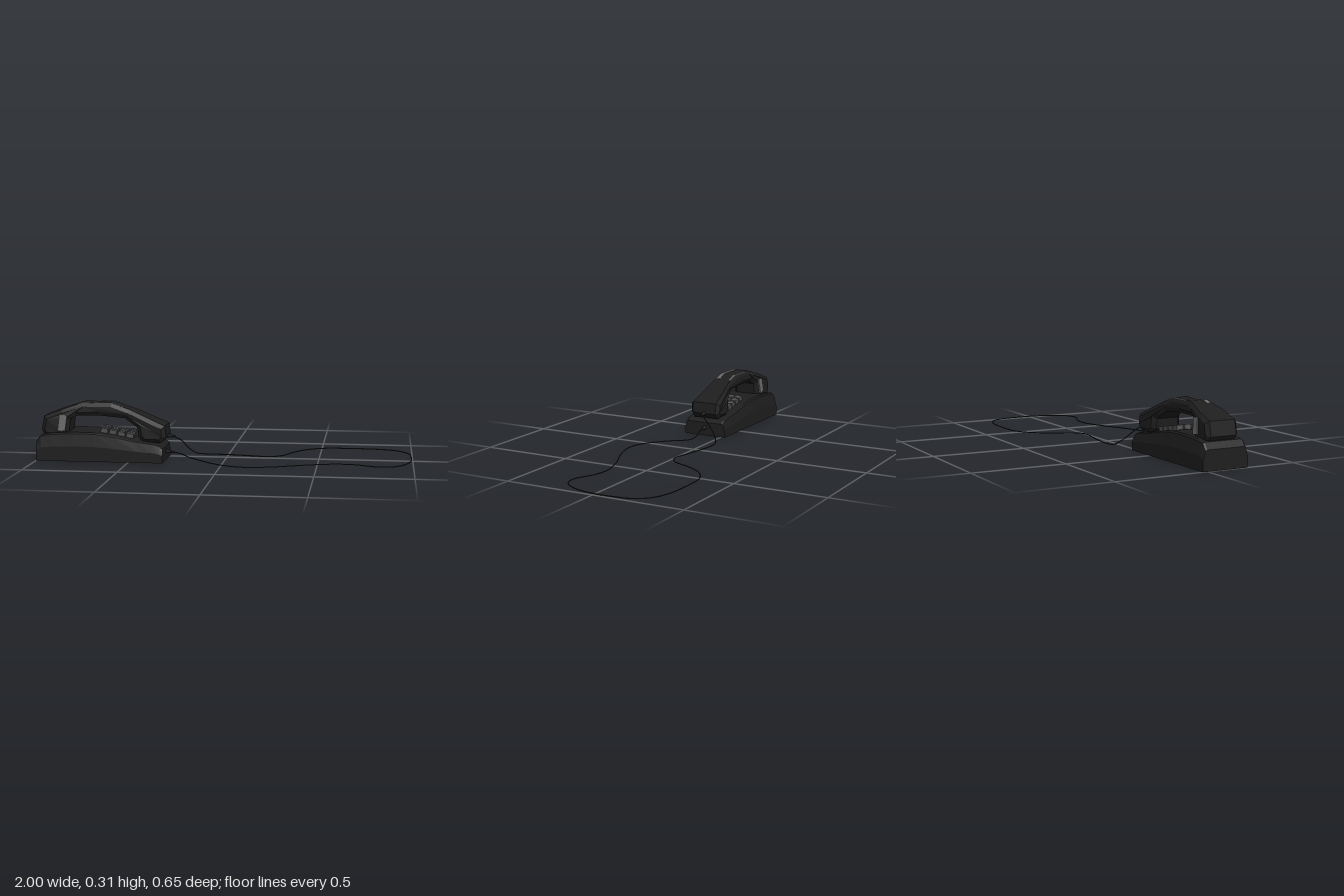
import * as THREE from 'three';

const CZ = 0.1025; // middle of the telephone in z
const V = (x, y, z) => new THREE.Vector3(x, y, z);

const black = new THREE.MeshStandardMaterial({ color: 0x1e1e1e });
black.name = 'blackPlastic';
const keyGrey = new THREE.MeshStandardMaterial({ color: 0x505050 });
keyGrey.name = 'keyGrey';
const shineGrey = new THREE.MeshStandardMaterial({ color: 0x686868 });
shineGrey.name = 'shineGrey';

function add(parent, name, geometry, material) {
  const mesh = new THREE.Mesh(geometry, material);
  mesh.name = name;
  parent.add(mesh);
  return mesh;
}

// Joins equal loops of points, ordered along +x, into a closed faceted solid.
function loft(loops) {
  const pos = [];
  const tri = (a, b, c) => [a, b, c].forEach((p) => pos.push(p.x, p.y, p.z));
  const n = loops[0].length;
  for (let i = 0; i < loops.length - 1; i++) {
    const a = loops[i], b = loops[i + 1];
    for (let j = 0; j < n; j++) {
      const k = (j + 1) % n;
      tri(a[j], a[k], b[k]);
      tri(a[j], b[k], b[j]);
    }
  }
  const first = loops[0], last = loops[loops.length - 1];
  for (let j = 1; j < n - 1; j++) {
    tri(first[0], first[j + 1], first[j]);
    tri(last[0], last[j], last[j + 1]);
  }
  const g = new THREE.BufferGeometry();
  g.setAttribute('position', new THREE.Float32BufferAttribute(pos, 3));
  g.computeVertexNormals();
  return g;
}

// Height of the base top along x
const baseTop = [[-1, 0.105], [-0.975, 0.138], [-0.92, 0.148], [-0.8, 0.155], [-0.68, 0.153],
  [-0.58, 0.138], [-0.45, 0.112], [-0.37, 0.102], [-0.335, 0.092], [-0.315, 0.075]];

function baseLoop([x, h]) {
  const half = [[0.1275, 0], [0.1275, 0.52 * h], [0.115, 0.95 * h], [0.105, h]];
  const right = half.map(([z, y]) => V(x, y, CZ - z));
  const left = half.map(([z, y]) => V(x, y, CZ + z)).reverse();
  return [...right, ...left];
}

// Handset: side outline with widening ends
const handsetOutline = [[-0.955, 0.125], [-0.98, 0.16], [-0.965, 0.235], [-0.87, 0.27], [-0.76, 0.306],
  [-0.6, 0.306], [-0.5, 0.272], [-0.31, 0.19], [-0.303, 0.13], [-0.33, 0.1], [-0.42, 0.1],
  [-0.453, 0.125], [-0.46, 0.18], [-0.53, 0.226], [-0.66, 0.238], [-0.79, 0.235],
  [-0.826, 0.215], [-0.832, 0.15], [-0.86, 0.13]];

function handsetGeometry() {
  const shape = new THREE.Shape(handsetOutline.map(([x, y]) => new THREE.Vector2(x, y)));
  const g = new THREE.ExtrudeGeometry(shape, {
    depth: 1.6, bevelThickness: 0.2, bevelSize: 0.02, bevelOffset: -0.02, bevelSegments: 1,
  });
  g.translate(0, 0, -0.8);
  const p = g.attributes.position;
  for (let i = 0; i < p.count; i++) {
    const w = 0.06 + 0.03 * THREE.MathUtils.smoothstep(Math.abs(p.getX(i) + 0.65), 0.12, 0.25);
    p.setZ(i, CZ + p.getZ(i) * w);
  }
  g.computeVertexNormals();
  return g;
}

// Thin pale strip that follows the top of the handset
function strip(points, z0, z1) {
  const outline = [...points.map(([x, y]) => [x, y + 0.002]),
    ...points.map(([x, y]) => [x, y - 0.004]).reverse()];
  const shape = new THREE.Shape(outline.map(([x, y]) => new THREE.Vector2(x, y)));
  const g = new THREE.ExtrudeGeometry(shape, { depth: z1 - z0, bevelEnabled: false });
  g.translate(0, 0, CZ + z0);
  return g;
}

export function createModel() {
  const model = new THREE.Group();
  model.name = 'telephone';

  add(model, 'base', loft(baseTop.map(baseLoop)), black);

  const handset = new THREE.Group();
  handset.name = 'handset';
  model.add(handset);
  add(handset, 'handle', handsetGeometry(), black);
  add(handset, 'frontTopShine', strip([[-0.8, 0.293], [-0.76, 0.306], [-0.6, 0.306], [-0.54, 0.286]], 0.022, 0.044), shineGrey);
  add(handset, 'backTopShine', strip([[-0.72, 0.306], [-0.6, 0.306], [-0.53, 0.283]], -0.05, -0.038), shineGrey);
  for (const s of [1, -1]) {
    const shine = add(handset, 'sideShine', new THREE.BoxGeometry(0.038, 0.085, 0.008), shineGrey);
    shine.position.set(-0.862, 0.2, CZ + s * 0.084);
    shine.rotation.set(-s * 0.1, 0, -0.12);
  }

  // Keypad: four rows of three on the sloping top
  const keypad = new THREE.Group();
  keypad.name = 'keypad';
  keypad.position.set(-0.57, 0.146, CZ);
  keypad.rotation.z = -0.18;
  model.add(keypad);
  for (let i = 0; i < 4; i++) {
    for (let j = -1; j <= 1; j++) {
      const key = add(keypad, 'key', new THREE.BoxGeometry(0.038, 0.024, 0.036), keyGrey);
      key.position.set((i - 1.5) * 0.047, 0, j * 0.046);
    }
  }

  // Tapered cord sleeves on the base and handset
  for (const [name, y, x] of [['baseCordSleeve', 0.043, -0.295], ['handsetCordSleeve', 0.128, -0.288]]) {
    const sleeve = add(model, name, new THREE.CylinderGeometry(0.004, 0.014, 0.05, 6), black);
    sleeve.position.set(x, y, CZ);
    sleeve.rotation.z = -Math.PI / 2 - 0.12;
  }

  // Cord lying in a long loop on the ground: x, z
  const ground = [[-0.1, 0.18], [0, 0.27], [0.1, 0.313], [0.18, 0.315], [0.3, 0.28], [0.45, 0.212],
    [0.6, 0.168], [0.7, 0.175], [0.83, 0.225], [0.91, 0.2], [0.965, 0.12], [0.99, 0.03], [0.992, -0.1],
    [0.975, -0.21], [0.92, -0.28], [0.82, -0.318], [0.68, -0.328], [0.52, -0.318], [0.42, -0.26],
    [0.35, -0.16], [0.295, -0.05], [0.23, -0.012], [0.14, -0.025], [0, -0.05], [-0.12, -0.057]];
  const path = new THREE.CatmullRomCurve3([
    V(-0.28, 0.041, CZ), V(-0.23, 0.03, 0.1), V(-0.19, 0.012, 0.1), V(-0.15, 0.006, 0.12),
    ...ground.map(([x, z]) => V(x, 0.006, z)),
    V(-0.17, 0.012, -0.045), V(-0.21, 0.045, -0.01), V(-0.24, 0.095, 0.045), V(-0.275, 0.126, CZ),
  ]);
  add(model, 'cord', new THREE.TubeGeometry(path, 260, 0.003, 6), black);

  return model;
}
